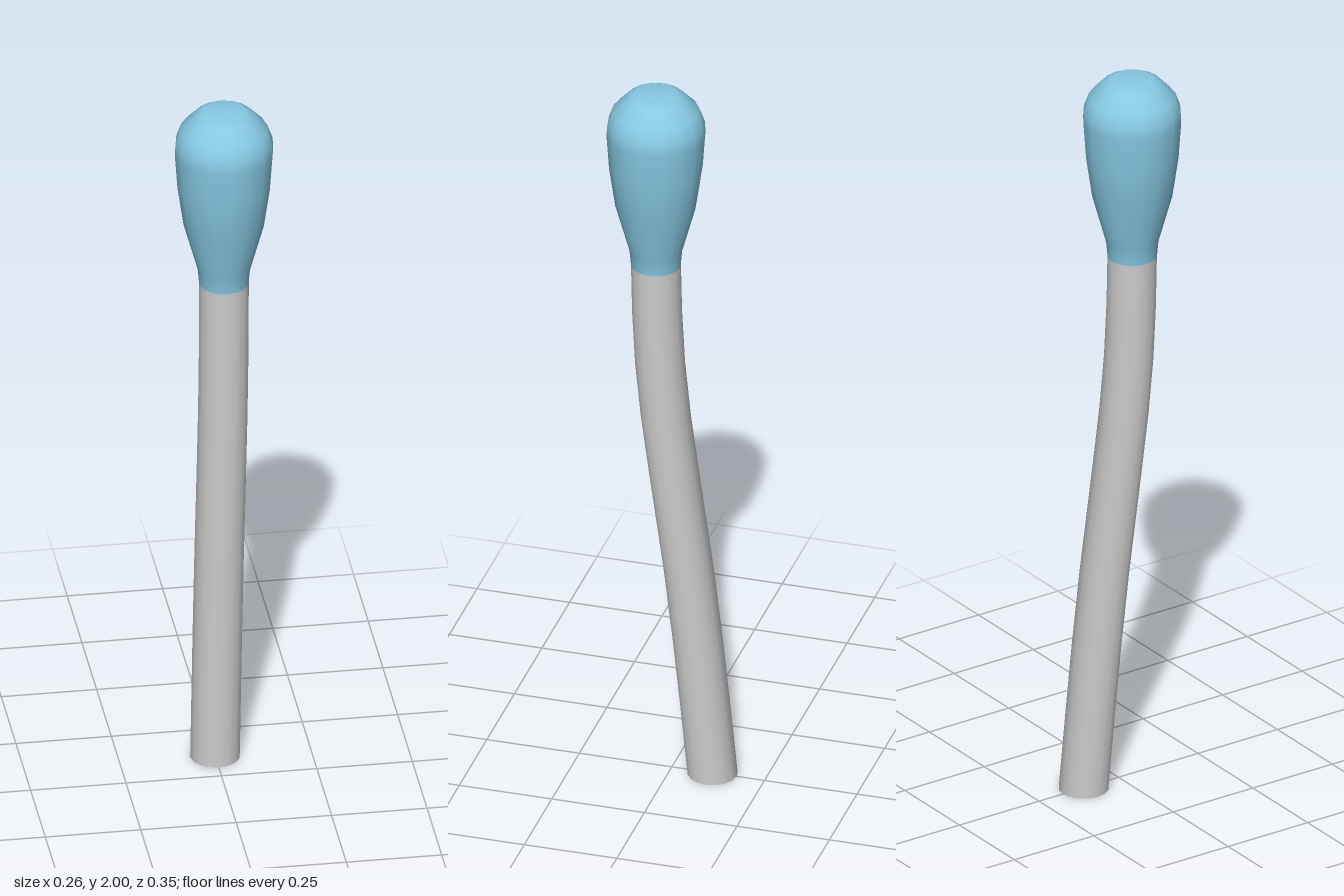
import * as THREE from 'three';

const SIDES = 16;
const RADIUS = 0.065;
// Centre line of the shaft: [height, z], from the neck down to the base
const CENTRE = [[1.49, 0.043], [1.35, 0.04], [1.2, 0.032], [1.05, 0.017], [0.9, -0.003],
  [0.75, -0.024], [0.6, -0.045], [0.4, -0.069], [0.2, -0.09], [0, -0.11]];

export function createModel() {
  const model = new THREE.Group();
  model.name = 'lever';
  const grey = new THREE.MeshStandardMaterial({ color: 0xcccccc, side: THREE.DoubleSide });
  const blue = new THREE.MeshStandardMaterial({ color: 0x87c9e4, side: THREE.DoubleSide });

  const add = (name, geometry, material) => {
    const mesh = new THREE.Mesh(geometry, material);
    mesh.name = name;
    model.add(mesh);
    return mesh;
  };

  // Bent shaft: a cylinder whose level rings follow the centre line
  const shaft = new THREE.CylinderGeometry(RADIUS, RADIUS, 1, SIDES, CENTRE.length - 1, true);
  const p = shaft.attributes.position;
  for (let i = 0; i < p.count; i++) {
    const [y, z] = CENTRE[Math.floor(i / (SIDES + 1))];
    p.setY(i, y);
    p.setZ(i, p.getZ(i) + z);
  }
  add('shaft', shaft, grey);

  // Flat disc closing the foot of the shaft
  const base = add('base', new THREE.CircleGeometry(RADIUS, SIDES), grey);
  base.rotation.x = Math.PI / 2;
  base.position.z = -0.11;

  // Rounded knob, turned about the top of the shaft
  const profile = [[RADIUS, 1.49], [0.069, 1.535], [0.106, 1.67], [0.122, 1.78], [0.129, 1.88],
    [0.127, 1.91], [0.114, 1.947], [0.075, 1.988], [0.055, 1.998], [0, 2]];
  const knob = new THREE.LatheGeometry(profile.map(([r, y]) => new THREE.Vector2(r, y)), SIDES);
  add('knob', knob, blue).position.z = 0.043;

  return model;
}
